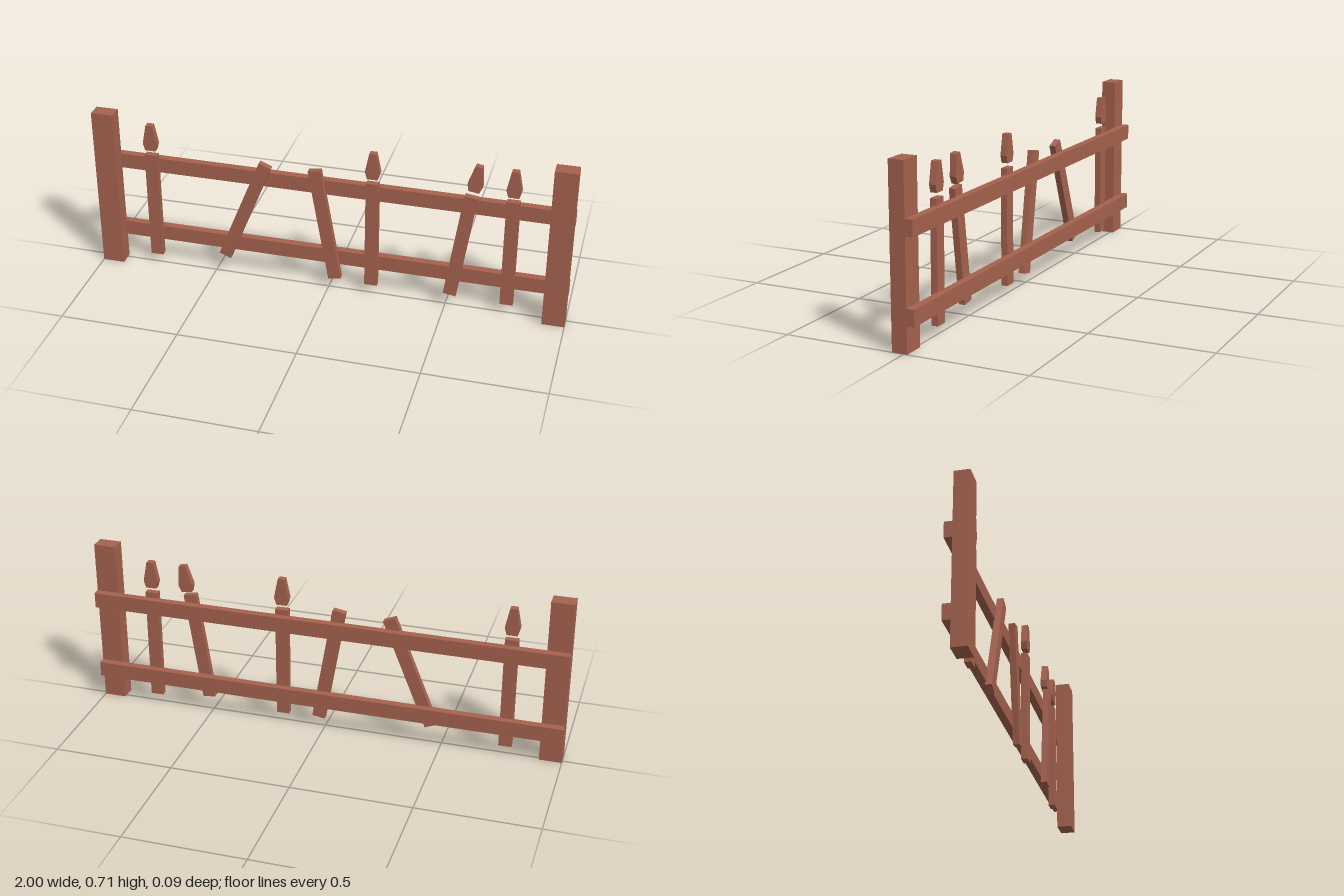
import * as THREE from 'three';

const wood = new THREE.MeshStandardMaterial({ color: 0xa5624e, flatShading: true });
const DEPTH = 0.027;
const BACK = -0.019;

function addBox(group, name, w, h, d, x, y, z) {
  const mesh = new THREE.Mesh(new THREE.BoxGeometry(w, h, d), wood);
  mesh.name = name;
  mesh.position.set(x, y, z);
  group.add(mesh);
  return mesh;
}

// Slat running from the centre of its foot to the centre of its top
function addPicket(group, [x0, y0], [x1, y1], back = BACK) {
  const dx = x1 - x0, dy = y1 - y0;
  const picket = addBox(group, 'picket', 0.054, Math.hypot(dx, dy), DEPTH,
    (x0 + x1) / 2, (y0 + y1) / 2, back + DEPTH / 2);
  picket.rotation.z = -Math.atan2(dx, dy);
}

// Six-sided pointed tip, standing on its own origin
function addTip(group, x, y, tilt = 0) {
  const right = [[0.022, 0], [0.031, 0.031], [0.014, 0.116]];
  const left = right.map(([px, py]) => [-px, py]).reverse();
  const shape = new THREE.Shape([...right, ...left].map(p => new THREE.Vector2(...p)));
  const geometry = new THREE.ExtrudeGeometry(shape, { depth: DEPTH, bevelEnabled: false });
  const tip = new THREE.Mesh(geometry, wood);
  tip.name = 'picketTip';
  tip.position.set(x, y, BACK);
  tip.rotation.z = tilt;
  group.add(tip);
}

export function createModel() {
  const fence = new THREE.Group();
  fence.name = 'brokenFence';

  // End posts
  for (const side of [-1, 1]) {
    addBox(fence, side > 0 ? 'leftPost' : 'rightPost', 0.093, 0.71, 0.063, side * 0.9535, 0.355, 0.0165);
  }

  // Rails across the back
  addBox(fence, 'lowerRail', 2, 0.065, 0.032, 0, 0.1395, -0.031);
  addBox(fence, 'upperRail', 2, 0.065, 0.032, 0, 0.4685, -0.031);

  // Upright pickets with separate tips
  for (const x of [-0.766, 0.182, 0.753]) {
    addPicket(fence, [x, 0.041], [x, 0.525]);
    addTip(fence, x, 0.546);
  }

  // Leaning pickets, the last one sitting further forward
  addPicket(fence, [-0.456, 0.083], [-0.27, 0.543]);
  addPicket(fence, [0.026, 0.047], [-0.061, 0.549]);
  addPicket(fence, [0.518, 0.059], [0.587, 0.53], -0.006);
  addTip(fence, 0.594, 0.549, -0.14);

  return fence;
}
